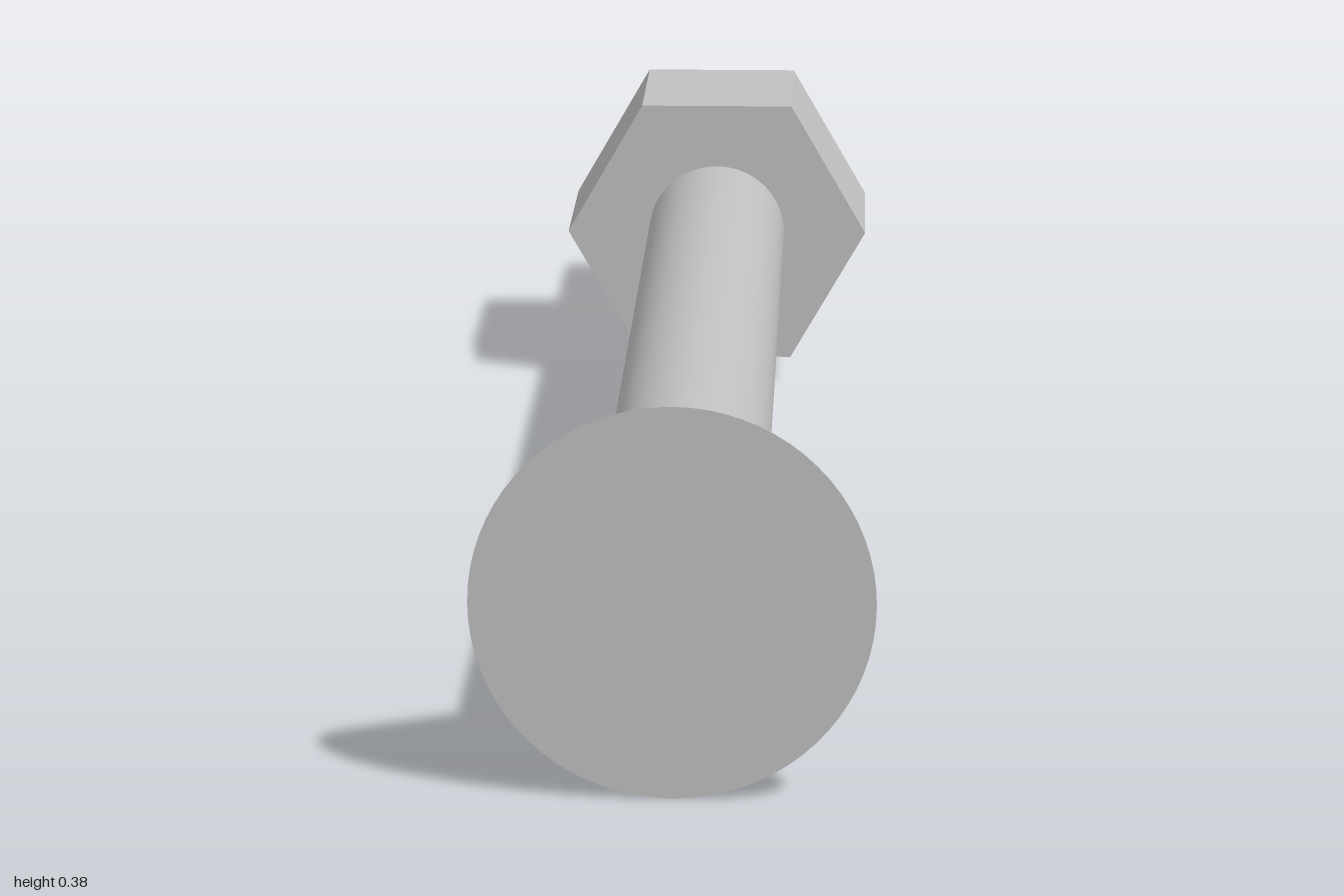
import * as THREE from 'three';

const AXIS_Y = 0.192; // height of the bolt's axis

export function createModel() {
  const group = new THREE.Group();
  group.name = 'boltWithNut';
  const steel = new THREE.MeshStandardMaterial({ color: 0xc0c0c0 });
  steel.name = 'steel';

  // Round or prismatic part lying along z, from zBack to zFront
  function addPart(name, rFront, rBack, zBack, zFront, sides, faceted = false) {
    let geo = new THREE.CylinderGeometry(rFront, rBack, zFront - zBack, sides, 1, false, Math.PI / 6);
    if (faceted) {
      geo = geo.toNonIndexed();
      geo.computeVertexNormals();
    }
    geo.rotateX(Math.PI / 2);
    const mesh = new THREE.Mesh(geo, steel);
    mesh.name = name;
    mesh.position.set(0, AXIS_Y, (zFront + zBack) / 2);
    group.add(mesh);
  }

  // Straight shank
  addPart('shank', 0.083, 0.083, -1, 0.9, 72);
  // Flat countersunk head
  addPart('countersunkHead', 0.192, 0.083, 0.893, 1, 72);
  // Hexagonal nut, corners pointing sideways
  addPart('hexNut', 0.183, 0.183, -0.75, -0.525, 6, true);

  return group;
}
